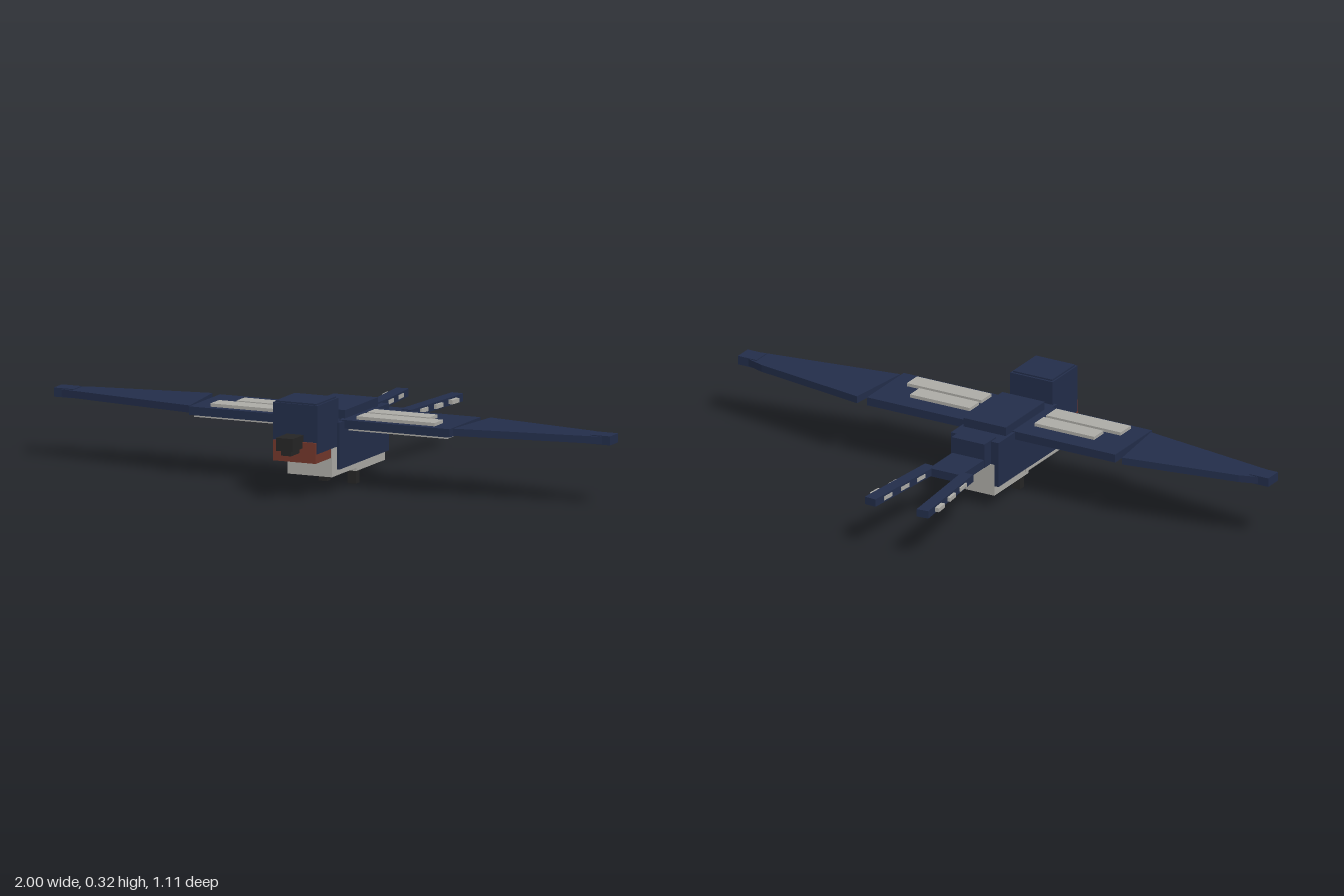
import * as THREE from 'three';

const paint = (name, color) => {
  const m = new THREE.MeshStandardMaterial({ color });
  m.name = name;
  return m;
};

export function createModel() {
  const navy = paint('navy', 0x232e4b);
  const pale = paint('pale grey', 0xaeada8);
  const rust = paint('rust', 0x74382c);
  const black = paint('charcoal', 0x262626);
  const bird = new THREE.Group();
  bird.name = 'bird';

  // Box given by its extents on each axis
  const box = (name, mat, [x0, x1], [y0, y1], [z0, z1], parent = bird) => {
    const mesh = new THREE.Mesh(new THREE.BoxGeometry(x1 - x0, y1 - y0, z1 - z0), mat);
    mesh.position.set((x0 + x1) / 2, (y0 + y1) / 2, (z0 + z1) / 2);
    mesh.name = name;
    parent.add(mesh);
    return mesh;
  };
  const mid = (name, mat, half, y, z) => box(name, mat, [-half, half], y, z);

  // Head and beak
  mid('head', navy, 0.08, [0.153, 0.313], [0.313, 0.473]);
  mid('crown', navy, 0.074, [0.3, 0.318], [0.32, 0.467]);
  mid('throat', rust, 0.077, [0.122, 0.19], [0.34, 0.48]);
  mid('upperBeak', black, 0.03, [0.17, 0.213], [0.46, 0.555]);
  mid('lowerBeak', black, 0.018, [0.153, 0.18], [0.46, 0.543]);

  // Body
  mid('body', navy, 0.09, [0.078, 0.233], [-0.05, 0.325]);
  mid('back', navy, 0.08, [0.22, 0.263], [0.013, 0.262]);
  mid('breast', pale, 0.08, [0.058, 0.153], [0.143, 0.363]);
  mid('belly', pale, 0.075, [0.045, 0.153], [-0.052, 0.167]);
  mid('rump', navy, 0.062, [0.155, 0.238], [-0.093, -0.02]);
  mid('tailBase', navy, 0.06, [0.155, 0.183], [-0.24, -0.08]);
  mid('underTail', black, 0.05, [0.152, 0.16], [-0.175, -0.05]);

  // Plan of the tapering outer wing
  const plan = new THREE.Shape([
    [0.473, 0.275], [0.5, 0.045], [0.9, 0.112], [0.97, 0.135], [0.97, 0.198],
  ].map(([x, z]) => new THREE.Vector2(x, -z)));

  for (const s of [1, -1]) {
    const span = (a, b) => (s > 0 ? [a, b] : [-b, -a]);

    // Legs
    box('leg', black, span(0.037, 0.067), [0, 0.05], [0.125, 0.153]);

    // Wing with pale bars and underside
    const wing = new THREE.Group();
    wing.name = s > 0 ? 'leftWing' : 'rightWing';
    bird.add(wing);
    box('innerWing', navy, span(0.07, 0.468), [0.208, 0.236], [0.055, 0.29], wing);
    box('rearWingBar', pale, span(0.122, 0.347), [0.23, 0.247], [0.125, 0.185], wing);
    box('frontWingBar', pale, span(0.122, 0.403), [0.23, 0.247], [0.2, 0.265], wing);
    box('wingLining', pale, span(0.1, 0.455), [0.201, 0.21], [0.08, 0.28], wing);
    const outer = new THREE.Mesh(
      new THREE.ExtrudeGeometry(plan, { depth: 0.024, bevelEnabled: false }), navy);
    outer.rotation.set(-Math.PI / 2, s > 0 ? 0 : Math.PI, 0);
    // The plan is flat and turned over for the other side
    outer.position.y = s > 0 ? 0.212 : 0.236;
    outer.name = 'outerWing';
    if (s < 0) {
      outer.rotation.set(Math.PI / 2, Math.PI, 0);
      outer.rotation.set(-Math.PI / 2, Math.PI, 0);
      outer.geometry.dispose();
      const mirrored = new THREE.Shape(
        plan.getPoints().map((p) => new THREE.Vector2(-p.x, p.y)));
      outer.geometry = new THREE.ExtrudeGeometry(mirrored, { depth: 0.024, bevelEnabled: false });
      outer.rotation.set(-Math.PI / 2, 0, 0);
      outer.position.y = 0.212;
    }
    wing.add(outer);
    box('wingTip', navy, span(0.93, 1), [0.209, 0.239], [0.132, 0.194], wing);

    // Forked tail streamer with pale spots along its outer edge
    const fork = new THREE.Group();
    fork.name = s > 0 ? 'leftTailFork' : 'rightTailFork';
    fork.position.set(s * 0.07, 0, -0.215);
    fork.rotation.y = -s * 0.085;
    bird.add(fork);
    box('streamer', navy, [-0.021, 0.021], [0.157, 0.183], [-0.338, 0], fork);
    [[-0.082, 0.026], [-0.172, 0.031], [-0.266, 0.036]].forEach(([z, reach]) =>
      box('tailSpot', pale, span(-0.0225, reach), [0.163, 0.177],
        [z - 0.023, z + 0.023], fork));
  }
  return bird;
}
